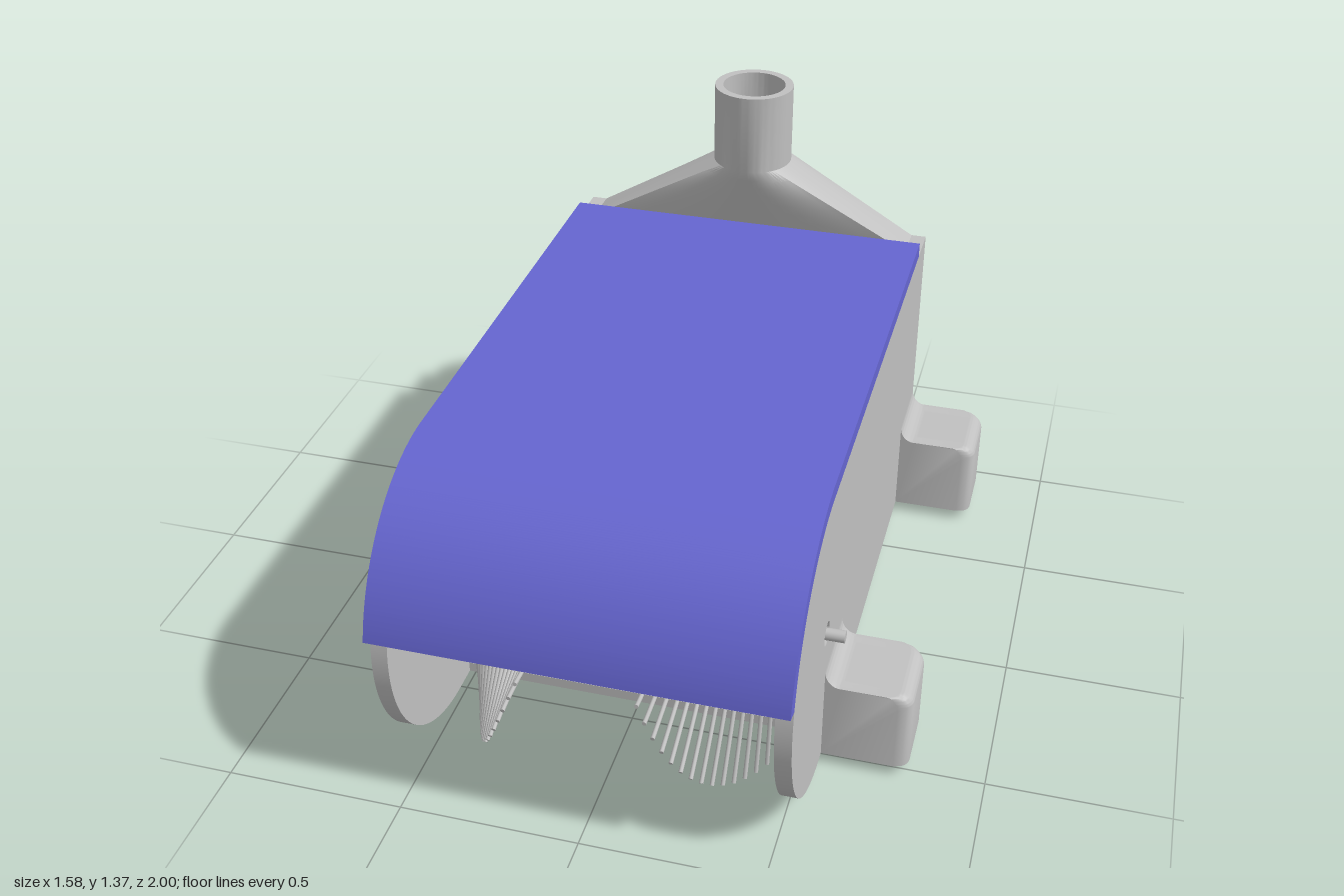
import * as THREE from 'three';
import { mergeGeometries, toCreasedNormals } from 'three/addons/utils/BufferGeometryUtils.js';

const grey = new THREE.MeshStandardMaterial({ color: 0xc0c0c0 });
grey.name = 'grey';
const blue = new THREE.MeshStandardMaterial({ color: 0x6565d0 });
blue.name = 'blue';

// Shared side layout: the round front is centred on the brush axle
const AXLE_Y = 0.46, AXLE_Z = 0.54, R = 0.43;

export function createModel() {
  const model = new THREE.Group();

  const add = (name, geometry, material = grey) => {
    const mesh = new THREE.Mesh(geometry, material);
    mesh.name = name;
    model.add(mesh);
    return mesh;
  };
  const box = (name, x0, x1, y0, y1, z0, z1) =>
    add(name, new THREE.BoxGeometry(x1 - x0, y1 - y0, z1 - z0)
      .translate((x0 + x1) / 2, (y0 + y1) / 2, (z0 + z1) / 2));
  // Extrudes a (z, y) profile along x
  const extrudeX = (shape, x0, x1) => toCreasedNormals(
    new THREE.ExtrudeGeometry(shape, { depth: x1 - x0, bevelEnabled: false, curveSegments: 48 })
      .rotateY(-Math.PI / 2).translate(x1, 0, 0), 0.5);
  const rodX = (name, r, x0, x1) =>
    add(name, new THREE.CylinderGeometry(r, r, x1 - x0, 32)
      .rotateZ(Math.PI / 2).translate((x0 + x1) / 2, AXLE_Y, AXLE_Z));

  // Side plates with a round front and an axle hole
  const side = new THREE.Shape();
  side.moveTo(-0.95, 0.03);
  side.lineTo(AXLE_Z, 0.03);
  side.absarc(AXLE_Z, AXLE_Y, R, -Math.PI / 2, Math.PI / 2, false);
  side.lineTo(-0.95, 0.89);
  side.closePath();
  side.holes.push(new THREE.Path().absarc(AXLE_Z, AXLE_Y, 0.034, 0, Math.PI * 2, true));
  add('leftSidePlate', extrudeX(side, 0.505, 0.55));
  add('rightSidePlate', extrudeX(side, -0.55, -0.505));

  // Curved cover over the top and front
  const a = 0.215;
  const cover = new THREE.Shape();
  cover.moveTo(-0.81, 0.89);
  cover.lineTo(AXLE_Z, 0.89);
  cover.absarc(AXLE_Z, AXLE_Y, R, Math.PI / 2, a, true);
  cover.absarc(AXLE_Z, AXLE_Y, 0.475, a, Math.PI / 2, false);
  cover.lineTo(-0.81, 0.935);
  cover.closePath();
  add('cover', extrudeX(cover, -0.55, 0.55), blue);

  // Back wall and the lintel in front of the suction duct
  box('backWall', -0.505, 0.505, 0.03, 0.89, -0.95, -0.93);
  box('ductLintel', -0.505, 0.505, 0.6, 0.89, -0.83, -0.81);

  // Floor with a cross slot
  const floor = new THREE.Shape();
  floor.moveTo(-0.505, -0.93).lineTo(0.505, -0.93).lineTo(0.505, 0.46).lineTo(-0.505, 0.46).closePath();
  const slot = new THREE.Path();
  slot.moveTo(-0.38, -0.2).lineTo(-0.38, -0.12).lineTo(0.38, -0.12).lineTo(0.38, -0.2).closePath();
  floor.holes.push(slot);
  add('floor', new THREE.ExtrudeGeometry(floor, { depth: 0.02, bevelEnabled: false })
    .rotateX(Math.PI / 2).translate(0, 0.05, 0));

  // Ramp rising behind the brush
  const ramp = new THREE.Shape([[0.46, 0.045], [0.46, 0.06], [-0.2, 0.155], [-0.93, 0.155], [-0.93, 0.135], [-0.2, 0.135]]
    .map(([z, y]) => new THREE.Vector2(z, y)));
  add('ramp', extrudeX(ramp, -0.505, 0.505));

  // Suction funnel: a long rectangle blending into a round pipe, with inner wall
  const N = 96;
  const ring = (hx, hz, r, t, y) => Array.from({ length: N }, (_, i) => {
    const ang = (i / N) * Math.PI * 2, c = Math.cos(ang), s = Math.sin(ang);
    const m = Math.max(Math.abs(c), Math.abs(s));
    return [
      THREE.MathUtils.lerp(hx * c / m, r * c, t), y,
      THREE.MathUtils.lerp(-0.89 + hz * s / m, -0.88 + r * s, t),
    ];
  });
  const loft = (rings) => {
    const index = [];
    for (let j = 0; j < rings.length - 1; j++) {
      for (let i = 0; i < N; i++) {
        const p = j * N + i, q = j * N + (i + 1) % N;
        index.push(p, p + N, q, q, p + N, q + N);
      }
    }
    const g = new THREE.BufferGeometry();
    g.setAttribute('position', new THREE.Float32BufferAttribute(rings.flat(2), 3));
    g.setIndex(index);
    return toCreasedNormals(g, 0.45);
  };
  const rings = [];
  for (let k = 0; k <= 8; k++) rings.push(ring(0.505, 0.06, 0.12, k / 8, 0.89 + 0.03 * k));
  rings.push(ring(0, 0, 0.12, 1, 1.37), ring(0, 0, 0.095, 1, 1.37));
  for (let k = 8; k >= 0; k--) rings.push(ring(0.485, 0.042, 0.095, k / 8, 0.89 + 0.03 * k));
  add('suctionFunnel', loft(rings));

  // Feet: filleted against the side plates, rounded on the outer edges
  const foot = new THREE.Shape();
  foot.moveTo(0, 0.03);
  foot.lineTo(0.24, 0.03);
  foot.lineTo(0.24, 0.23);
  foot.absarc(0.2, 0.23, 0.04, 0, Math.PI / 2, false);
  foot.lineTo(0.05, 0.27);
  foot.absarc(0.05, 0.32, 0.05, -Math.PI / 2, -Math.PI, true);
  foot.closePath();
  const footRaw = new THREE.ExtrudeGeometry(foot, { depth: 0.24, steps: 36, bevelEnabled: false, curveSegments: 10 })
    .translate(0, 0, -0.12);
  const pos = footRaw.attributes.position;
  for (let i = 0; i < pos.count; i++) {
    const d = Math.max(0, Math.abs(pos.getZ(i)) - 0.08);
    const inset = 0.04 - Math.sqrt(Math.max(0, 0.0016 - d * d));
    pos.setX(i, pos.getX(i) * (0.24 - inset) / 0.24);
  }
  const footGeo = toCreasedNormals(footRaw, 0.6);

  // Screw heads under the feet
  const screwGeo = new THREE.LatheGeometry(
    [[0, 0.014], [0.016, 0.014], [0.016, 0], [0.022, 0], [0.038, 0.02], [0.038, 0.032]]
      .map(([r, y]) => new THREE.Vector2(r, y)), 24);
  const screwFlat = toCreasedNormals(screwGeo, 0.5);

  for (const s of [1, -1]) {
    for (const [label, z] of [['front', 0.41], ['back', -0.83]]) {
      const f = add(label + (s > 0 ? 'LeftFoot' : 'RightFoot'), footGeo);
      f.position.set(s * 0.55, 0, z);
      if (s < 0) f.rotation.y = Math.PI;
      add(label + (s > 0 ? 'LeftScrew' : 'RightScrew'), screwFlat).position.set(s * 0.62, 0, z);
    }
  }

  // Brush axle with bearings, its drive end sticking out on the left
  rodX('brushShaft', 0.022, -0.505, 0.505);
  rodX('leftBearing', 0.034, 0.5, 0.53);
  rodX('rightBearing', 0.034, -0.53, -0.5);
  rodX('driveEnd', 0.017, 0.5, 0.6);
  rodX('axleEnd', 0.017, -0.545, -0.5);

  // Bristles in a mirrored helix
  const bristles = [];
  for (let i = -25; i <= 25; i++) {
    const x = i * 0.0198;
    const ang = THREE.MathUtils.degToRad(57 - 333 * Math.abs(x));
    bristles.push(new THREE.CylinderGeometry(0.006, 0.006, 0.44, 8)
      .translate(0, 0.22, 0).rotateX(Math.PI / 2 - ang).translate(x, AXLE_Y, AXLE_Z));
  }
  add('bristles', mergeGeometries(bristles));

  return model;
}
